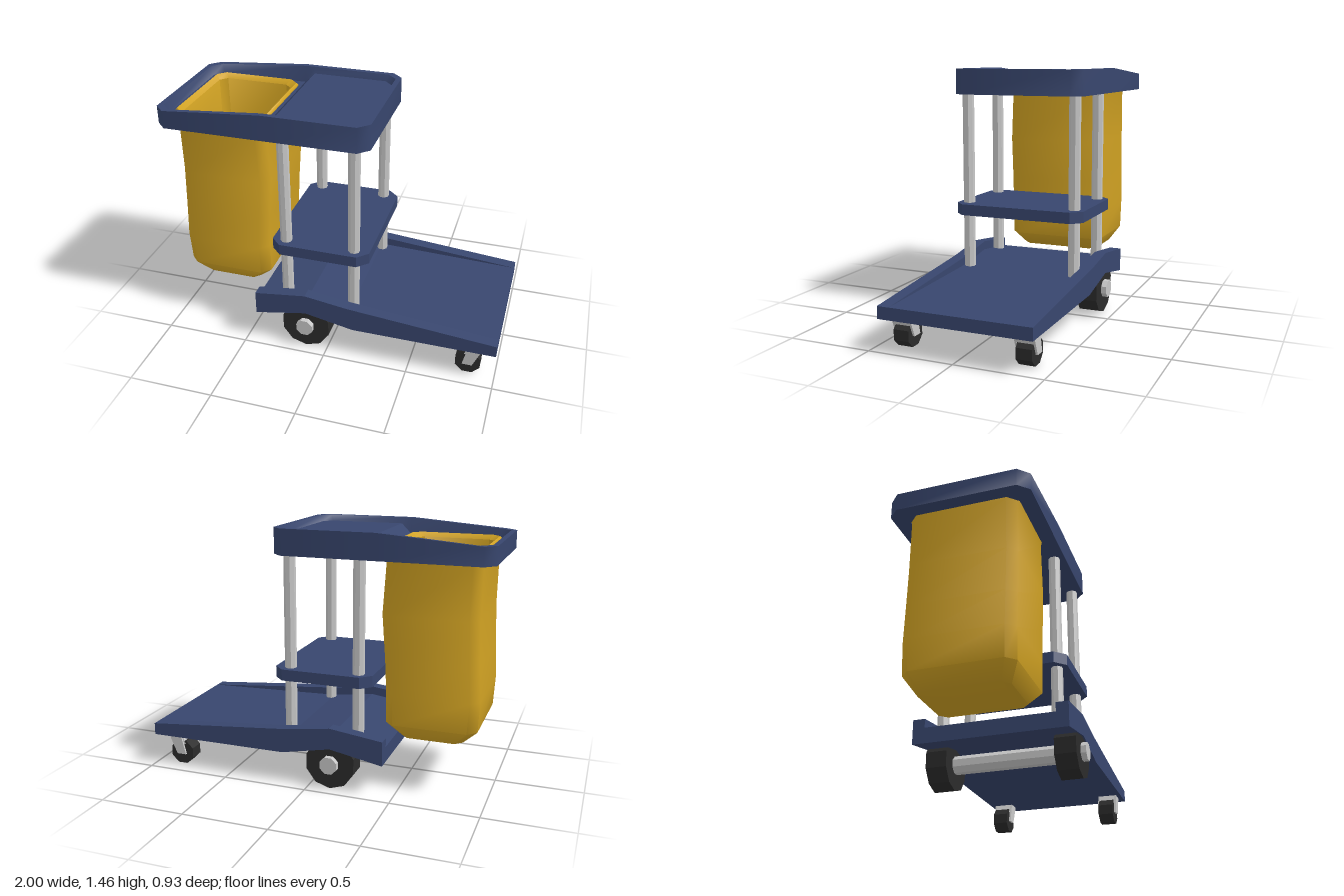
import * as THREE from 'three';
import { toCreasedNormals } from 'three/addons/utils/BufferGeometryUtils.js';

const mat = (name, color, flatShading = false) => {
  const m = new THREE.MeshStandardMaterial({ color, flatShading });
  m.name = name;
  return m;
};

// Rectangle with cut corners, counter-clockwise from above; mids add points along the long sides
function ring(x0, x1, h, c, y, mids = []) {
  const pts = [
    [x1, h - c], [x1, c - h], [x1 - c, -h],
    ...[...mids].reverse().map((x) => [x, -h]),
    [x0 + c, -h], [x0, c - h], [x0, h - c], [x0 + c, h],
    ...mids.map((x) => [x, h]), [x1 - c, h],
  ];
  return pts.map(([x, z]) => [x, typeof y === 'function' ? y(x) : y, z]);
}

// Skin over a list of rings, with optional end caps
function loft(rings, caps, crease) {
  const n = rings[0].length, index = [];
  rings.slice(1).forEach((_, i) => {
    for (let j = 0; j < n; j++) {
      const a = i * n + j, b = i * n + (j + 1) % n;
      index.push(a, b, b + n, a, b + n, a + n);
    }
  });
  if (caps) {
    const e = (rings.length - 1) * n;
    for (let j = 1; j < n - 1; j++) index.push(0, j + 1, j, e, e + j, e + j + 1);
  }
  const g = new THREE.BufferGeometry();
  g.setAttribute('position', new THREE.Float32BufferAttribute(rings.flat(2), 3));
  g.setIndex(index);
  return toCreasedNormals(g, crease);
}

const toShape = (pts) => new THREE.Shape(pts.map(([x, y]) => new THREE.Vector2(x, y)));

// Horizontal plate from (x, z) points; its top may follow a height rule
function slab(pts, y0, top, hole) {
  const s = toShape(pts.map(([x, z]) => [x, -z]));
  if (hole) s.holes.push(toShape(hole.map(([x, z]) => [x, -z])));
  const g = new THREE.ExtrudeGeometry(s, { depth: 1, bevelEnabled: false }).rotateX(-Math.PI / 2);
  const p = g.attributes.position;
  for (let i = 0; i < p.count; i++) p.setY(i, p.getY(i) < 0.5 ? y0 : top(p.getX(i)));
  g.computeVertexNormals();
  return g;
}

// Side profile (x, y) extruded between two z values
const sideCut = (pts, z0, z1) =>
  new THREE.ExtrudeGeometry(toShape(pts), { depth: z1 - z0, bevelEnabled: false }).translate(0, 0, z0);

export function createModel() {
  const root = new THREE.Group();
  root.name = 'serviceCart';
  const navy = mat('navyPlastic', 0x38466e);
  const yellow = mat('yellowBag', 0xd2a323);
  const steel = mat('greyMetal', 0xc8c8c8, true);
  const rubber = mat('blackRubber', 0x2b2b2b, true);
  const add = (name, geo, material, parent = root) => {
    const m = new THREE.Mesh(geo, material);
    m.name = name;
    parent.add(m);
    return m;
  };

  // Top tray: outer wall, rim and inner wall
  const tray = new THREE.Group();
  tray.name = 'topTray';
  root.add(tray);
  const mids = [-0.37, -0.31];
  const { clamp, mapLinear } = THREE.MathUtils;
  const rimY = (x) => clamp(mapLinear(x, -0.92, -0.37, 1.415, 1.46), 1.415, 1.46);
  const floorY = (x) => clamp(mapLinear(x, -0.37, -0.31, 1.365, 1.425), 1.365, 1.425);
  add('trayRim', loft([
    ring(-0.95, 0.18, 0.35, 0.05, 1.312, mids),
    ring(-1, 0.23, 0.4, 0.06, 1.312, mids),
    ring(-1, 0.23, 0.4, 0.06, rimY, mids),
    ring(-0.97, 0.2, 0.37, 0.055, rimY, mids),
    ring(-0.95, 0.18, 0.35, 0.05, floorY, mids),
  ], false, 0.8), navy, tray);

  // Tray floor: frame around the bag opening, ramp and raised shelf
  const hole = ring(-0.915, -0.4, 0.315, 0.05, 0).map(([x, , z]) => [x, z]);
  add('bagFrame', slab([[-0.37, 0.35], [-0.37, -0.35], [-0.9, -0.35], [-0.95, -0.3], [-0.95, 0.3], [-0.9, 0.35]],
    1.312, floorY, hole), navy, tray);
  add('trayRamp', slab([[-0.31, 0.35], [-0.31, -0.35], [-0.37, -0.35], [-0.37, 0.35]], 1.312, floorY), navy, tray);
  add('trayFloor', slab([[0.18, 0.3], [0.18, -0.3], [0.13, -0.35], [-0.31, -0.35], [-0.31, 0.35], [0.13, 0.35]],
    1.312, floorY), navy, tray);

  // Hanging bag: outside from the bottom up, over the lip and down the inside
  add('bag', loft([
    ring(-0.84, -0.49, 0.25, 0.04, 0.29),
    ring(-0.925, -0.405, 0.305, 0.05, 0.375),
    ring(-0.935, -0.405, 0.308, 0.05, 0.55),
    ring(-0.925, -0.395, 0.308, 0.05, 0.75),
    ring(-0.915, -0.376, 0.308, 0.05, 1.0),
    ring(-0.92, -0.395, 0.305, 0.05, 1.3),
    ring(-0.925, -0.39, 0.33, 0.05, 1.372),
    ring(-0.915, -0.4, 0.315, 0.045, 1.385),
    ring(-0.89, -0.43, 0.285, 0.04, 1.36),
    ring(-0.89, -0.415, 0.285, 0.04, 1.0),
    ring(-0.9, -0.43, 0.285, 0.04, 0.55),
    ring(-0.89, -0.44, 0.28, 0.04, 0.39),
    ring(-0.83, -0.5, 0.24, 0.04, 0.32),
  ], true, 0.95), yellow);

  // Middle shelf
  const shelf = ring(-0.35, 0.23, 0.4, 0.06, 0).map(([x, , z]) => [x, z]);
  add('middleShelf', slab(shelf, 0.6, () => 0.665), navy);

  // Posts
  for (const x of [-0.267, 0.14]) for (const z of [-0.335, 0.335]) {
    add('post', new THREE.CylinderGeometry(0.034, 0.034, 1.08, 8).rotateY(Math.PI / 8), steel)
      .position.set(x, 0.79, z);
  }

  // Base deck with raised, tapering side lips
  const under = [[-0.44, 0.18], [-0.13, 0.238], [0.16, 0.18], [1, 0.18]];
  add('deck', sideCut([...under, [1, 0.25], [0.9, 0.252], [0.13, 0.275], [-0.13, 0.31], [-0.44, 0.27]],
    -0.37, 0.37), navy);
  for (const z of [-0.44, 0.37]) {
    add('deckLip', sideCut([...under, [1, 0.25], [0.13, 0.325], [-0.13, 0.362], [-0.44, 0.322]], z, z + 0.07), navy);
  }

  // Wheels, axle and casters
  const disc = (r, len, sides, turn) =>
    new THREE.CylinderGeometry(r, r, len, sides).rotateY(turn).rotateX(Math.PI / 2);
  add('axle', disc(0.053, 0.925, 8, Math.PI / 8), steel).position.set(-0.13, 0.145, 0);
  for (const s of [-1, 1]) {
    add('bigWheel', disc(0.148, 0.122, 10, 0), rubber).position.set(-0.13, 0.145, s * 0.37);

    const caster = new THREE.Group();
    caster.name = 'caster';
    caster.position.z = s * 0.354;
    root.add(caster);
    add('casterWheel', disc(0.077, 0.09, 8, Math.PI / 8), rubber, caster).position.set(0.84, 0.072, 0);
    const fork = [[0.81, 0.062], [0.868, 0.062], [0.92, 0.182], [0.84, 0.182]];
    for (const z of [-0.058, 0.046]) add('forkArm', sideCut(fork, z, z + 0.012), steel, caster);
    add('forkBridge', sideCut([[0.815, 0.125], [0.895, 0.125], [0.92, 0.182], [0.84, 0.182]], -0.046, 0.046),
      steel, caster);
  }
  return root;
}
